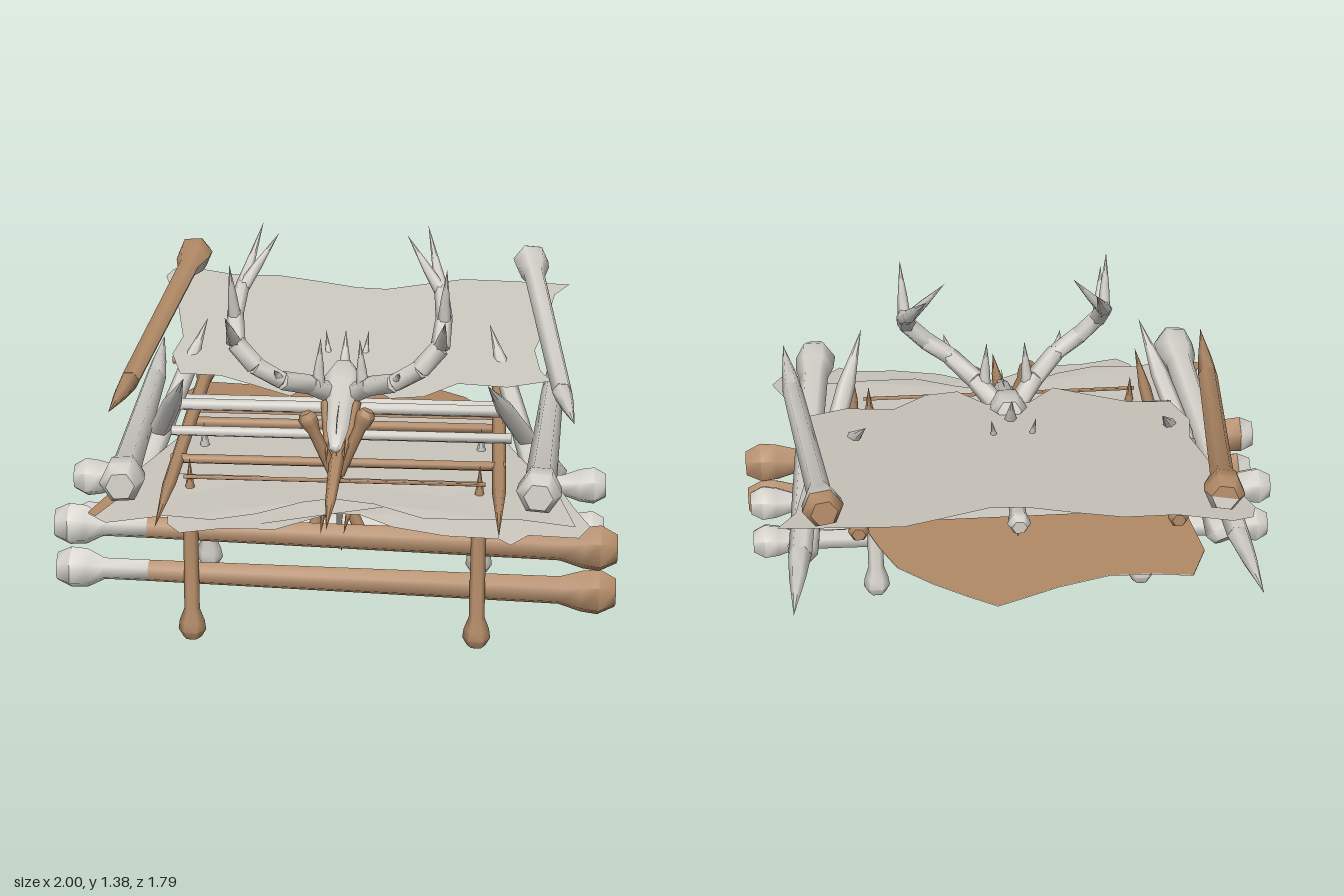
import * as THREE from 'three';
import { toCreasedNormals } from 'three/addons/utils/BufferGeometryUtils.js';

const V = (p) => new THREE.Vector3(...p);
const UP = new THREE.Vector3(0, 1, 0);
const HALF = Math.PI / 2;

export function createModel() {
  const model = new THREE.Group();
  const material = (name, color, side = THREE.FrontSide) => {
    const m = new THREE.MeshStandardMaterial({ color, side });
    m.name = name;
    return m;
  };
  const bone = material('bone', 0xd4d1ca);
  const brown = material('stained bone', 0xb08966);
  const hide = material('hide', 0xcbc7be, THREE.DoubleSide);

  function add(name, geometry, mat, parent = model) {
    const mesh = new THREE.Mesh(geometry, mat);
    mesh.name = name;
    parent.add(mesh);
    return mesh;
  }

  // A six-sided turned piece from a to b; profile pairs are [radius, distance].
  // arc = [start, length] turns only some of the sides, for two-toned bones
  function turned(name, a, b, profile, mat, { flat = 1, parent = model, arc = [-HALF, Math.PI * 2] } = {}) {
    const start = V(a), dir = V(b).sub(start).normalize();
    const pts = profile.map(([r, d]) => new THREE.Vector2(r, d));
    const geo = new THREE.LatheGeometry(pts, Math.round(arc[1] / (Math.PI / 3)), ...arc);
    geo.scale(1, 1, flat);
    geo.applyQuaternion(new THREE.Quaternion().setFromUnitVectors(UP, dir));
    geo.translate(start.x, start.y, start.z);
    return add(name, toCreasedNormals(geo, 1.08), mat, parent);
  }
  const span = (a, b) => V(a).distanceTo(V(b));

  // Knob at a, then a shaft that ends in a knob (k1 > 0) or a point (k1 = 0)
  function longBone(name, a, b, k0, r0, r1, k1, mat, options) {
    const L = span(a, b);
    const profile = [[0, 0], [k0 * 0.65, 0], [k0, k0 * 0.6], [k0 * 0.9, k0 * 1.3], [r0, k0 * 2.2]];
    if (k1) profile.push([r1, L - k1 * 2.2], [k1 * 0.9, L - k1 * 1.3], [k1, L - k1 * 0.6], [k1 * 0.65, L], [0, L]);
    else profile.push([r1, L * 0.75], [0, L]);
    return turned(name, a, b, profile, mat, options);
  }
  function rod(name, a, b, r, mat) {
    const L = span(a, b);
    return turned(name, a, b, [[0, 0], [r, 0], [r, L], [0, L]], mat);
  }
  function spike(name, a, b, r, mat, parent = model) {
    const L = span(a, b);
    return turned(name, a, b, [[0, 0], [r, 0], [r * 0.7, L * 0.4], [0, L]], mat, { parent });
  }

  // Base frame: two stacked logs in front with one pale end, two logs behind
  const frontArc = [-HALF, Math.PI], backArc = [HALF, Math.PI];
  const paleCap = [[0, 0], [0.055, 0], [0.08, 0.05]];
  const neck = [[0.08, 0.05], [0.075, 0.11], [0.042, 0.17], [0.042, 0.33]];
  const darkShaft = [[0.042, 0.33], [0.054, 1.8], [0.08, 1.88], [0.088, 1.94], [0.055, 2], [0, 2]];
  for (const [y0, y1] of [[0.405, 0.365], [0.235, 0.195]]) {
    const a = [-1, y0, 0.48], b = [1, y1, 0.48], flat = 0.88;
    turned('frontLogCap', a, b, paleCap, bone, { flat });
    turned('frontLogEnd', a, b, neck, bone, { flat, arc: frontArc });
    turned('frontLog', a, b, darkShaft, brown, { flat, arc: frontArc });
    turned('frontLogBack', a, b, [...neck, ...darkShaft.slice(1)], brown, { flat, arc: backArc });
  }
  for (const y of [0.43, 0.255])
    longBone('backLog', [-1, y - 0.01, 0.085], [0.97, y + 0.01, 0.085], 0.075, 0.045, 0.04, 0.072, bone, { flat: 0.97 });

  // Mirrored side members
  for (const s of [-1, 1]) {
    longBone('frontLeg', [s * 0.51, 0, 0.54], [s * 0.51, 0.68, 0.5], 0.05, 0.028, 0.026, 0, brown);
    longBone('backLeg', [s * 0.51, 0.05, 0.02], [s * 0.51, 0.66, 0.1], 0.05, 0.03, 0.028, 0, bone);
    // bowed side tusk: knobbed shaft, then a rising point
    turned('sideTusk', [s * 0.71, 0.685, 0.79], [s * 0.78, 0.6, -0.5],
      [[0, 0], [0.05, 0], [0.078, 0.05], [0.074, 0.13], [0.055, 0.2], [0.042, 1.29], [0, 1.3]], bone);
    spike('sideTuskTip', [s * 0.78, 0.6, -0.49], [s * 0.8, 0.638, -0.9], 0.042, bone);
    longBone('sideSpear', [s * 0.57, 0.65, -0.46], [s * 0.58, 0.58, 0.89], 0.038, 0.028, 0.024, 0, brown);
    // crossed tusks
    longBone('crossTuskFront', [s * 0.79, 0.36, -0.18], [s * 0.53, 0.96, 0.46], 0.058, 0.042, 0.034, 0, bone);
    longBone('crossTuskBack', [s * 0.77, 0.37, 0.35], [s * 0.53, 0.95, -0.23], 0.055, 0.042, 0.034, 0, bone);
    // crossed bones bound at the centre
    for (const z of [0.38, -0.16])
      longBone('centreCross', [s * 0.11, 0.31, z], [s * -0.11, 0.82, z + s * 0.02], 0.034, 0.022, 0.022, 0.035, brown);
    longBone('lowerSpear', [s * 0.07, 0.455, -0.4], [s * 0.04, 0.45, 0.61], 0.028, 0.017, 0.015, 0, brown);
  }

  // Canopy poles: knobbed shaft and bowed point; one stained along its top, one on its cap
  const poleShaft = [[0, 0], [0.046, 0], [0.07, 0.045], [0.066, 0.1], [0.042, 0.18], [0.037, 1.1], [0, 1.11]];
  const rightPole = [[-0.65, 1.025, -0.88], [-0.765, 0.85, 0.21]];
  turned('canopyPoleRightTop', ...rightPole, poleShaft, brown, { arc: backArc });
  turned('canopyPoleRightUnderside', ...rightPole, poleShaft, bone, { arc: frontArc });
  spike('canopyPoleRightTip', [-0.764, 0.85, 0.2], [-0.785, 0.858, 0.54], 0.037, brown);
  const leftPole = [[0.68, 1.025, -0.87], [0.795, 0.85, 0.22]];
  turned('canopyPoleLeft', ...leftPole, poleShaft.slice(2), bone);
  turned('canopyPoleLeftCap', ...leftPole, poleShaft.slice(0, 3), brown);
  spike('canopyPoleLeftTip', [0.794, 0.85, 0.21], [0.83, 0.858, 0.54], 0.037, bone);

  // Cross rungs
  for (const [y, z, r, mat, w] of [
    [0.75, 0.16, 0.023, bone, 0.62], [0.65, -0.15, 0.022, bone, 0.66], [0.65, 0.17, 0.02, bone, 0.62],
    [0.61, 0.34, 0.018, brown, 0.6], [0.6, -0.05, 0.02, brown, 0.6], [0.465, 0.2, 0.018, bone, 0.68],
    [0.8, -0.18, 0.018, brown, 0.66], [0.615, 0.52, 0.008, brown, 0.53],
  ]) rod('rung', [-w, y, z], [w, y, z], r, mat);
  longBone('ridgeBone', [0.02, 0.8, -0.42], [0, 0.785, 0.1], 0.038, 0.025, 0.022, 0.03, brown);

  // Hides: an outline with a height rule for each sheet
  function sheet(name, outline, height, mat = hide) {
    const shape = new THREE.Shape(outline.map(([x, z]) => new THREE.Vector2(x, -z)));
    const geo = new THREE.ShapeGeometry(shape).rotateX(-HALF);
    const p = geo.attributes.position;
    for (let i = 0; i < p.count; i++) p.setY(i, height(p.getX(i), p.getZ(i)));
    geo.computeVertexNormals();
    return add(name, geo, mat);
  }
  sheet('canopyHide', [
    [-0.75, -0.87], [-0.68, -0.89], [-0.5, -0.83], [-0.32, -0.83], [-0.15, -0.78], [0, -0.73], [0.12, -0.72],
    [0.28, -0.78], [0.42, -0.83], [0.62, -0.82], [0.84, -0.8], [0.78, -0.7], [0.74, -0.4], [0.7, -0.2],
    [0.72, -0.03], [0.76, 0.05], [0.6, 0.11], [0.42, 0.09], [0.3, 0.2], [0.18, 0.22], [0.08, 0.1], [-0.08, 0.1],
    [-0.18, 0.22], [-0.32, 0.14], [-0.45, 0.07], [-0.6, 0.06], [-0.65, -0.1], [-0.63, -0.25], [-0.68, -0.5], [-0.77, -0.8],
  ], (x, z) => 0.838 - 0.112 * z);
  const floorHeight = (x, z) => 0.59 - 0.045 * Math.max(0, 0.55 - z) - 0.1 * Math.max(0, z - 0.55);
  sheet('floorHide', [
    [-0.83, 0.76], [-0.76, 0.82], [-0.56, 0.76], [-0.4, 0.78], [-0.25, 0.73], [-0.1, 0.64], [0, 0.61], [0.15, 0.64],
    [0.32, 0.73], [0.5, 0.73], [0.65, 0.72], [0.84, 0.76], [0.78, 0.5], [0.7, 0.3], [0.62, 0.05], [0.56, -0.25],
    [-0.62, -0.25], [-0.62, 0.05], [-0.7, 0.35], [-0.77, 0.6],
  ], floorHeight);
  // stained left-hand corner of the floor hide
  sheet('floorHideCorner', [[-0.83, 0.76], [-0.8, 0.785], [-0.74, 0.66], [-0.77, 0.6]],
    (x, z) => floorHeight(x, z) + 0.004, brown);
  const rear = [[0.56, -0.25], [0.5, -0.4], [0.44, -0.52], [0.32, -0.62], [0.2, -0.7], [0.1, -0.76], [0, -0.72],
    [-0.12, -0.67], [-0.3, -0.62], [-0.45, -0.62], [-0.6, -0.64], [-0.66, -0.5], [-0.62, -0.25]];
  sheet('floorHideRear', rear, floorHeight);
  sheet('floorHideRearStain', rear, floorHeight, brown).position.y = 0.004;
  sheet('frontHide', [
    [-0.55, 0.8], [-0.5, 0.86], [-0.35, 0.82], [-0.18, 0.82], [0, 0.7], [0.1, 0.7], [0.22, 0.78], [0.4, 0.83],
    [0.58, 0.84], [0.62, 0.88], [0.68, 0.81], [0.85, 0.82], [0.89, 0.74], [0.84, 0.62], [0.78, 0.4], [-0.6, 0.4],
  ], (x, z) => floorHeight(x, z) - 0.008);

  // Hanging centre hide
  const hanging = [[0.4, 0.8], [0.42, 0.6], [0.39, 0.4], [0.34, 0.29], [0.24, 0.25], [0.14, 0.17], [0.08, 0.16],
    [0, 0.2], [-0.05, 0.28], [-0.15, 0.26], [-0.28, 0.27], [-0.36, 0.3], [-0.39, 0.38], [-0.36, 0.47],
    [-0.4, 0.6], [-0.37, 0.7], [-0.42, 0.77], [-0.4, 0.83]];
  const hangingShape = new THREE.Shape(hanging.map(([z, y]) => new THREE.Vector2(-z, y)));
  add('hangingHide', new THREE.ShapeGeometry(hangingShape).rotateY(HALF), hide);

  // Skull with jaws and a long centre spear
  const skull = new THREE.Group();
  skull.name = 'skull';
  model.add(skull);
  turned('cranium', [0, 0.85, 0], [0, 0.7, 0.46],
    [[0, 0], [0.045, 0.005], [0.068, 0.06], [0.066, 0.14], [0.045, 0.22], [0.04, 0.36], [0.02, 0.47], [0, 0.48]],
    bone, { flat: 0.9, parent: skull });
  for (const s of [-1, 1])
    spike('jaw', [s * 0.05, 0.77, 0.16], [s * 0.03, 0.66, 0.48], 0.024, brown, skull);
  longBone('centreSpear', [0, 0.67, 0.1], [0, 0.585, 0.88], 0.04, 0.034, 0.018, 0, brown);
  longBone('centreSpearHandle', [0, 0.65, -0.46], [0, 0.67, 0.14], 0.042, 0.03, 0.03, 0, bone);

  // Antlers: a tapering beam with tines
  const beam = [[0.04, 0.8, 0.14], [0.11, 0.86, 0.22], [0.2, 0.91, 0.32], [0.29, 0.97, 0.34], [0.36, 1.05, 0.33],
    [0.37, 1.13, 0.24], [0.355, 1.2, 0.12], [0.3, 1.37, -0.09]];
  const girth = [0.038, 0.036, 0.034, 0.036, 0.035, 0.03, 0.025, 0];
  const tines = [[[0.36, 1.05, 0.33], [0.38, 1.19, 0.47]], [[0.37, 1.12, 0.26], [0.38, 1.33, 0.31]],
    [[0.355, 1.19, 0.13], [0.23, 1.37, 0.04]], [[0.08, 0.85, 0.2], [0.07, 1.03, 0.2]], [[0.2, 0.9, 0.31], [0.22, 0.97, 0.38]]];
  for (const s of [-1, 1]) {
    const antler = new THREE.Group();
    antler.name = s > 0 ? 'leftAntler' : 'rightAntler';
    model.add(antler);
    const flip = ([x, y, z]) => [s * x, y, z];
    for (let i = 0; i < beam.length - 1; i++) {
      const L = span(beam[i], beam[i + 1]);
      turned('beam', flip(beam[i]), flip(beam[i + 1]),
        [[0, -0.012], [girth[i], 0], [girth[i + 1], L], [0, L + 0.012]], bone, { parent: antler });
    }
    for (const [a, b] of tines) spike('tine', flip(a), flip(b), 0.024, bone, antler);
    // small horn tips that rise through the canopy
    spike('hornTip', [s * 0.06, 0.78, -0.13], [s * 0.08, 0.93, -0.18], 0.02, bone, antler);
  }
  spike('centreHorn', [0, 0.78, 0], [0, 0.96, -0.1], 0.03, bone);
  return model;
}
